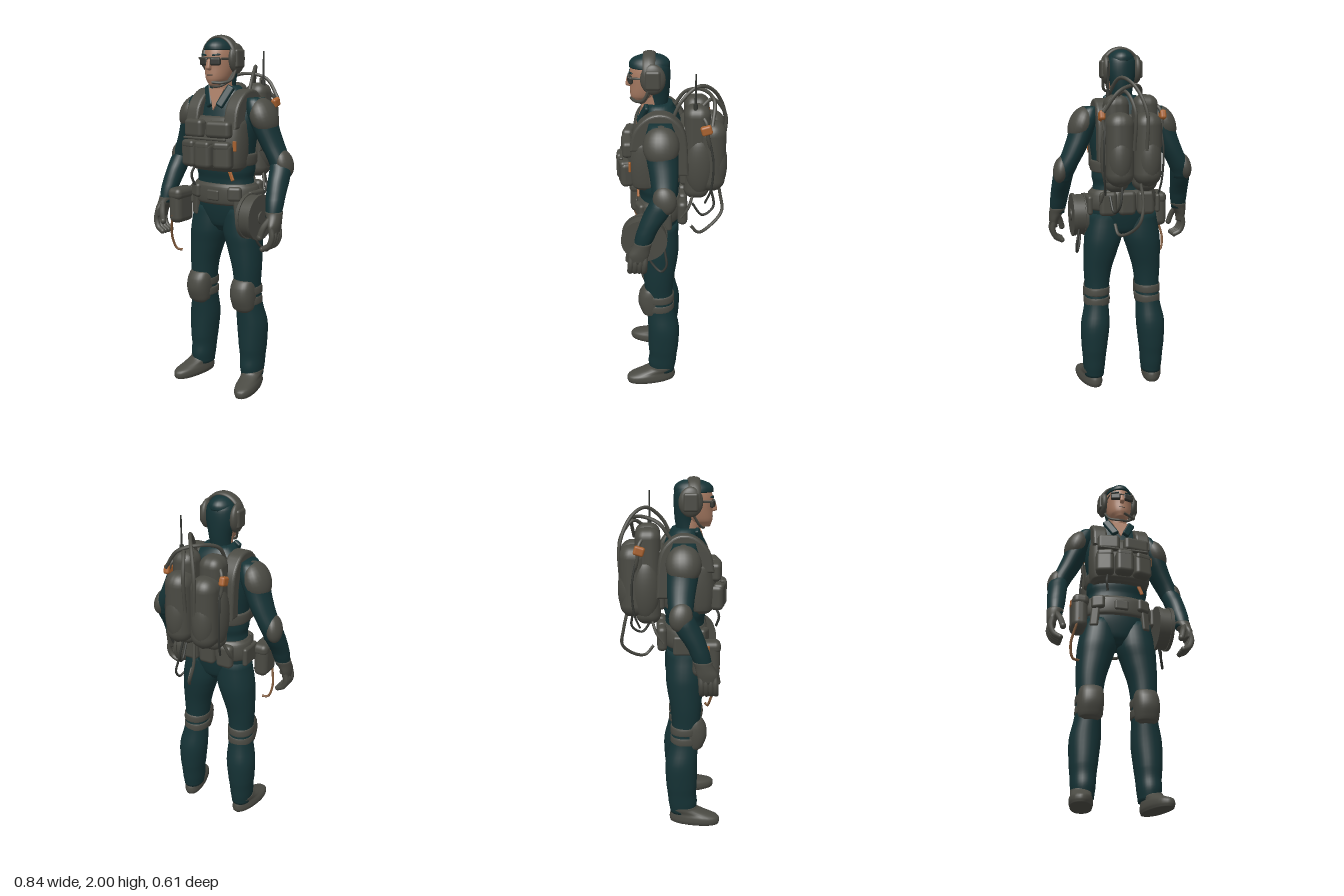
import * as THREE from 'three';
import { RoundedBoxGeometry } from 'three/addons/geometries/RoundedBoxGeometry.js';

const paint = (name, color) => {
  const m = new THREE.MeshStandardMaterial({ color });
  m.name = name;
  return m;
};

export function createModel() {
  const root = new THREE.Group();
  root.name = 'fieldOperator';
  const cloth = paint('dark teal cloth', 0x153235);
  const gear = paint('olive grey gear', 0x4a4a43);
  const dark = paint('dark lens and cable', 0x343632);
  const skin = paint('skin', 0xa67a62);
  const orange = paint('orange tag', 0xa9622f);
  const tan = paint('tan cable', 0x7d5738);

  const add = (name, geo, mat, x = 0, y = 0, z = 0, rx = 0, ry = 0, rz = 0) => {
    const m = new THREE.Mesh(geo, mat);
    m.name = name;
    m.position.set(x, y, z);
    m.rotation.set(rx, ry, rz);
    root.add(m);
    return m;
  };
  const box = (name, mat, [w, h, d], [x, y, z], r = 0.015, rot = [0, 0, 0]) =>
    add(name, new RoundedBoxGeometry(w, h, d, 4, Math.min(r, w / 2.01, h / 2.01, d / 2.01)), mat, x, y, z, ...rot);
  const ball = (name, mat, [a, b, c], [x, y, z], rot = [0, 0, 0]) =>
    add(name, new THREE.SphereGeometry(1, 24, 16).scale(a, b, c), mat, x, y, z, ...rot);
  const tube = (name, mat, pts, r = 0.009) =>
    add(name, new THREE.TubeGeometry(new THREE.CatmullRomCurve3(pts.map(p => new THREE.Vector3(...p))), 32, r, 8), mat);

  // Smooth body from horizontal rings [y, cx, cz, rx, rz], bottom to top; p squares the outline
  const loft = (name, mat, keys, p = 1, side = 1) => {
    const N = 28, S = 4, pos = [], idx = [], rings = [];
    const cr = (a, b, c, d, t) => b + 0.5 * t * (c - a + t * (2 * a - 5 * b + 4 * c - d + t * (3 * (b - c) + d - a)));
    for (let i = 0; i < keys.length - 1; i++) {
      for (let s = 0; s < S; s++) {
        rings.push(keys[i].map((v, k) => k === 0
          ? v + (keys[i + 1][0] - v) * s / S
          : cr((keys[i - 1] || keys[i])[k], v, keys[i + 1][k], (keys[i + 2] || keys[i + 1])[k], s / S)));
      }
    }
    rings.push(keys[keys.length - 1]);
    const pw = v => Math.sign(v) * Math.abs(v) ** p;
    for (const [y, cx, cz, rx, rz] of rings) {
      for (let j = 0; j < N; j++) {
        const t = j / N * Math.PI * 2;
        pos.push(cx * side + rx * pw(Math.cos(t)), y, cz + rz * pw(Math.sin(t)));
      }
    }
    const R = rings.length, last = rings[R - 1];
    pos.push(rings[0][1] * side, rings[0][0], rings[0][2], last[1] * side, last[0], last[2]);
    for (let j = 0; j < N; j++) {
      const k = (j + 1) % N;
      for (let i = 0; i < R - 1; i++) {
        const a = i * N + j, b = i * N + k;
        idx.push(a, a + N, b, b, a + N, b + N);
      }
      idx.push(R * N, j, k, R * N + 1, (R - 1) * N + k, (R - 1) * N + j);
    }
    const g = new THREE.BufferGeometry();
    g.setAttribute('position', new THREE.Float32BufferAttribute(pos, 3));
    g.setIndex(idx);
    g.computeVertexNormals();
    return add(name, g, mat);
  };

  // Torso, open collar and neck
  loft('torso', cloth, [[0.92, 0, 0.06, 0.04, 0.06], [0.96, 0, 0.06, 0.12, 0.09], [1.04, 0, 0.06, 0.19, 0.108],
    [1.12, 0, 0.06, 0.193, 0.115], [1.22, 0, 0.065, 0.17, 0.11], [1.27, 0, 0.065, 0.178, 0.12], [1.36, 0, 0.065, 0.175, 0.122],
    [1.5, 0, 0.06, 0.193, 0.125], [1.6, 0, 0.05, 0.195, 0.112], [1.67, 0, 0.05, 0.155, 0.09], [1.73, 0, 0.06, 0.08, 0.07]], 0.9);
  loft('neck', skin, [[1.64, 0, 0.075, 0.062, 0.065], [1.72, 0, 0.085, 0.058, 0.06], [1.82, 0, 0.095, 0.055, 0.06]]);
  const vee = new THREE.Shape([[-0.05, 0.12], [0, 0], [0.05, 0.12]].map(p => new THREE.Vector2(...p)));
  add('openNeck', new THREE.ExtrudeGeometry(vee, { depth: 0.008, bevelEnabled: false }), skin, 0, 1.6, 0.178, -0.3);
  for (const s of [-1, 1]) box('collarFlap', cloth, [0.045, 0.13, 0.025], [s * 0.054, 1.675, 0.145], 0.01, [-0.3, s * 0.3, -s * 0.42]);

  // Head, hair and face
  loft('head', skin, [[1.735, 0, 0.155, 0.032, 0.045], [1.77, 0, 0.135, 0.06, 0.077], [1.83, 0, 0.115, 0.076, 0.096],
    [1.89, 0, 0.11, 0.079, 0.103], [1.94, 0, 0.105, 0.068, 0.09], [1.965, 0, 0.1, 0.03, 0.05]]);
  loft('hairBack', cloth, [[1.71, 0, 0.07, 0.058, 0.055], [1.78, 0, 0.065, 0.064, 0.06], [1.86, 0, 0.072, 0.082, 0.072],
    [1.92, 0, 0.078, 0.08, 0.076], [1.95, 0, 0.085, 0.066, 0.068], [1.97, 0, 0.09, 0.04, 0.045]]);
  loft('hairTop', cloth, [[1.92, 0, 0.108, 0.08, 0.107], [1.945, 0, 0.107, 0.073, 0.105], [1.965, 0, 0.105, 0.057, 0.088],
    [1.98, 0, 0.1, 0.035, 0.055], [1.986, 0, 0.1, 0.006, 0.01]]);
  box('nose', skin, [0.026, 0.055, 0.035], [0, 1.843, 0.215], 0.01, [-0.25, 0, 0]);
  box('mouth', dark, [0.036, 0.005, 0.008], [0, 1.79, 0.209], 0.002);
  for (const s of [-1, 1]) {
    box('lens', dark, [0.06, 0.04, 0.022], [s * 0.037, 1.86, 0.209], 0.01, [0, s * 0.25, 0]);
    box('glassesArm', gear, [0.006, 0.012, 0.1], [s * 0.078, 1.875, 0.155], 0.003, [0, -s * 0.12, 0]);
    box('eyebrow', cloth, [0.045, 0.009, 0.008], [s * 0.04, 1.895, 0.206], 0.003, [0, s * 0.4, s * 0.1]);
    ball('earCup', gear, [0.028, 0.08, 0.066], [s * 0.09, 1.875, 0.088]);
    box('earCupCover', gear, [0.03, 0.1, 0.08], [s * 0.106, 1.875, 0.088], 0.014);
  }
  box('glassesBridge', gear, [0.14, 0.009, 0.01], [0, 1.879, 0.214], 0.004);
  add('headband', new THREE.TorusGeometry(0.102, 0.013, 10, 40, Math.PI).scale(1, 1, 2.6), gear, 0, 1.885, 0.108);
  tube('microphoneBoom', gear, [[0.1, 1.82, 0.11], [0.09, 1.765, 0.14], [0.06, 1.75, 0.18], [0.01, 1.752, 0.208]], 0.008);
  tube('chinStrap', gear, [[-0.085, 1.81, 0.1], [-0.055, 1.745, 0.14], [0, 1.727, 0.165], [0.055, 1.745, 0.14], [0.085, 1.81, 0.1]], 0.007);

  // Limbs with pads, gloves and boots
  for (const s of [-1, 1]) {
    loft('upperArm', cloth, [[1.25, 0.348, 0.04, 0.045, 0.05], [1.32, 0.335, 0.028, 0.058, 0.062], [1.42, 0.287, 0.03, 0.064, 0.074],
      [1.52, 0.245, 0.04, 0.07, 0.084], [1.6, 0.22, 0.045, 0.078, 0.085], [1.67, 0.185, 0.05, 0.045, 0.06]], 1, s);
    loft('forearm', cloth, [[1.05, 0.37, 0.147, 0.04, 0.044], [1.11, 0.366, 0.13, 0.048, 0.052], [1.16, 0.361, 0.11, 0.052, 0.056],
      [1.24, 0.353, 0.068, 0.055, 0.068], [1.31, 0.343, 0.035, 0.056, 0.064], [1.36, 0.32, 0.03, 0.04, 0.045]], 1, s);
    ball('shoulderPad', gear, [0.07, 0.107, 0.095], [s * 0.24, 1.57, 0.045], [0, 0, s * 0.4]);
    ball('elbowPad', gear, [0.044, 0.078, 0.062], [s * 0.361, 1.32, 0.025], [0.2, 0, s * 0.2]);
    loft('glove', gear, [[0.965, 0.39, 0.17, 0.022, 0.045], [1.01, 0.39, 0.165, 0.028, 0.055], [1.05, 0.378, 0.15, 0.04, 0.05],
      [1.08, 0.37, 0.14, 0.047, 0.05]], 1, s);
    for (let f = 0; f < 4; f++) {
      const z = 0.13 + f * 0.025;
      tube('finger', gear, [[s * 0.392, 1.0, z], [s * 0.4, 0.95, z + 0.004], [s * 0.382, 0.905, z + 0.008], [s * 0.348, 0.885, z + 0.012]], 0.016);
      ball('fingertip', gear, [0.016, 0.016, 0.016], [s * 0.348, 0.885, z + 0.012]);
    }
    tube('thumb', gear, [[s * 0.375, 1.05, 0.18], [s * 0.35, 1.0, 0.213], [s * 0.335, 0.95, 0.225]], 0.017);
    ball('thumbTip', gear, [0.017, 0.019, 0.017], [s * 0.335, 0.95, 0.225]);

    loft('leg', cloth, [[0.06, 0.178, 0.05, 0.058, 0.074], [0.12, 0.178, 0.05, 0.065, 0.084], [0.18, 0.177, 0.044, 0.069, 0.084],
      [0.24, 0.176, 0.042, 0.076, 0.09], [0.38, 0.17, 0.04, 0.085, 0.092], [0.5, 0.159, 0.056, 0.072, 0.082], [0.6, 0.154, 0.066, 0.071, 0.08],
      [0.72, 0.148, 0.066, 0.082, 0.088], [0.84, 0.129, 0.06, 0.1, 0.102], [0.92, 0.114, 0.06, 0.11, 0.108], [1.06, 0.1, 0.06, 0.1, 0.1]], 0.93, s);
    loft('kneePad', gear, [[0.465, 0.156, 0.115, 0.04, 0.03], [0.485, 0.157, 0.11, 0.062, 0.055], [0.55, 0.156, 0.112, 0.071, 0.075],
      [0.61, 0.154, 0.11, 0.07, 0.072], [0.65, 0.153, 0.105, 0.06, 0.055], [0.665, 0.152, 0.1, 0.035, 0.03]], 0.85, s);
    for (const y of [0.53, 0.59]) {
      loft('kneeStrap', gear, [[y - 0.026, 0.156, 0.063, 0.066, 0.076], [y - 0.02, 0.156, 0.063, 0.076, 0.086],
        [y + 0.02, 0.154, 0.064, 0.076, 0.086], [y + 0.026, 0.154, 0.064, 0.066, 0.076]], 0.93, s);
    }
    const boot = loft('boot', gear, [[0, 0, 0.07, 0.056, 0.145], [0.02, 0, 0.07, 0.062, 0.15], [0.045, 0, 0.066, 0.06, 0.143],
      [0.065, 0, 0.04, 0.055, 0.11], [0.085, 0, 0.008, 0.058, 0.085], [0.1, 0, 0, 0.058, 0.076]], 0.9);
    boot.position.set(s * 0.185, 0, 0.05);
    boot.rotation.y = s * 0.2;
  }

  // Belt with pouches
  loft('belt', gear, [[1.075, 0, 0.06, 0.19, 0.11], [1.09, 0, 0.06, 0.204, 0.125], [1.13, 0, 0.06, 0.208, 0.13], [1.18, 0, 0.062, 0.198, 0.126],
    [1.2, 0, 0.063, 0.18, 0.113]], 0.9);
  box('buckle', gear, [0.08, 0.06, 0.02], [0, 1.135, 0.188]);
  for (const s of [-1, 1]) {
    box('beltStrap', gear, [0.05, 0.13, 0.03], [s * 0.145, 1.07, 0.15], 0.012, [0, s * 0.5, s * 0.1]);
    box('beltPouch', gear, [0.08, 0.08, 0.04], [s * 0.13, 1.15, 0.165], 0.018, [0, s * 0.45, 0]);
    box('sidePad', gear, [0.03, 0.11, 0.14], [s * 0.2, 1.11, 0.06]);
  }
  for (const x of [-0.11, 0, 0.11]) box('rearPouch', gear, [0.1, 0.14, 0.055], [x, 1.13, -0.068], 0.025);
  box('hipPouch', gear, [0.085, 0.2, 0.15], [-0.243, 1.05, 0.17], 0.035);
  box('hipPouchFlap', gear, [0.092, 0.07, 0.158], [-0.24, 1.12, 0.17], 0.03);
  box('hipPouchTag', orange, [0.008, 0.035, 0.03], [-0.287, 1.12, 0.17], 0.003);
  tube('hipCable', tan, [[-0.25, 1.0, 0.24], [-0.275, 0.92, 0.22], [-0.287, 0.85, 0.2], [-0.27, 0.785, 0.18], [-0.235, 0.78, 0.17]], 0.007);

  // Cable drum on the left hip
  const disc = (name, r, w, x) => add(name, new THREE.CylinderGeometry(r, r, w, 40), gear, x, 1.035, 0.14, 0, 0, Math.PI / 2);
  disc('drumCore', 0.119, 0.08, 0.247);
  for (const x of [0.212, 0.28]) disc('drumRim', 0.126, 0.018, x);
  disc('drumHub', 0.035, 0.012, 0.291);
  tube('drumCable', dark, [[0.24, 0.93, 0.13], [0.25, 0.87, 0.1], [0.272, 0.83, 0.05], [0.28, 0.87, 0.02], [0.26, 0.97, 0.03]], 0.007);

  // Chest rig with pouches and shoulder straps
  loft('chestPlate', gear, [[1.275, 0, 0.13, 0.15, 0.08], [1.3, 0, 0.135, 0.173, 0.1], [1.42, 0, 0.135, 0.182, 0.105],
    [1.53, 0, 0.13, 0.178, 0.092], [1.57, 0, 0.12, 0.165, 0.07]], 0.75);
  loft('sideStrap', gear, [[1.295, 0, 0.063, 0.17, 0.12], [1.305, 0, 0.063, 0.183, 0.13], [1.36, 0, 0.063, 0.186, 0.131], [1.37, 0, 0.063, 0.172, 0.12]], 0.9);
  for (const x of [-0.108, 0, 0.108]) {
    box('magazinePouch', gear, [0.105, 0.14, 0.075], [x, 1.365, x ? 0.238 : 0.26], 0.025, [0, x * 2.5, 0]);
    box('pouchFlap', gear, [0.095, 0.045, 0.06], [x, 1.42, x ? 0.248 : 0.268], 0.018, [0, x * 2.5, 0]);
  }
  box('chestRadio', gear, [0.13, 0.1, 0.06], [-0.085, 1.505, 0.23], 0.022, [0, -0.15, 0]);
  box('chestPouch', gear, [0.15, 0.09, 0.06], [0.075, 1.505, 0.232], 0.022, [0, 0.12, 0]);
  box('chestCable', gear, [0.28, 0.014, 0.02], [0, 1.455, 0.262], 0.006);
  for (const [x, y, z, r] of [[0.115, 1.25, 0.175, 0.4], [0.165, 1.42, 0.215, 0]]) box('vestTag', orange, [0.02, 0.055, 0.012], [x, y, z], 0.004, [0, 0, r]);
  tube('vestCord', dark, [[-0.09, 1.3, 0.23], [-0.1, 1.25, 0.25], [-0.09, 1.19, 0.235]], 0.007);
  const v2 = a => a.map(p => new THREE.Vector2(...p));
  const strap = new THREE.Shape();
  strap.moveTo(0.2, 1.52);
  strap.splineThru(v2([[0.18, 1.61], [0.125, 1.675], [0.06, 1.7], [-0.01, 1.68], [-0.07, 1.59], [-0.085, 1.38]]));
  strap.lineTo(-0.04, 1.38);
  strap.splineThru(v2([[-0.03, 1.56], [0.01, 1.63], [0.06, 1.645], [0.11, 1.62], [0.145, 1.52]]));
  for (const s of [-1, 1]) {
    const g = new THREE.ExtrudeGeometry(strap, { depth: 0.056, bevelSize: 0.014, bevelThickness: 0.014, bevelSegments: 4, curveSegments: 20 });
    add('shoulderStrap', g.translate(0, 0, -0.028).rotateY(-Math.PI / 2), gear, s * 0.128);
  }

  // Backpack: two tall columns, rear lobes, side pockets and tags
  box('packFrame', gear, [0.24, 0.34, 0.06], [0, 1.46, -0.08], 0.02);
  for (const s of [-1, 1]) {
    box('packColumn', gear, [0.135, 0.53, 0.14], [s * 0.081, 1.475, -0.143], 0.055);
    box('packLobe', gear, [0.15, 0.4, 0.17], [s * 0.077, 1.45, -0.215], 0.07);
    ball('packBulge', gear, [0.065, 0.15, 0.06], [s * 0.08, 1.4, -0.25]);
    ball('sidePocket', gear, [0.045, 0.17, 0.075], [s * 0.125, 1.41, -0.155]);
    box('packTag', orange, [0.034, 0.05, 0.058], [s * 0.168, 1.63, -0.19], 0.012, [0.3, 0, 0]);
    tube('packTagStrap', gear, [[s * 0.12, 1.7, -0.16], [s * 0.155, 1.66, -0.19], [s * 0.16, 1.58, -0.2], [s * 0.14, 1.5, -0.22]], 0.01);
    tube('packCord', dark, [[s * 0.15, 1.6, -0.2], [s * 0.165, 1.45, -0.23], [s * 0.16, 1.28, -0.22], [s * 0.15, 1.2, -0.19]], 0.006);
    tube('packStrap', gear, [[s * 0.12, 1.26, -0.13], [s * 0.15, 1.17, -0.1], [s * 0.155, 1.11, -0.06]], 0.008);
  }
  add('antenna', new THREE.CylinderGeometry(0.004, 0.007, 0.25, 10), dark, 0.12, 1.79, -0.132);
  add('antennaBase', new THREE.CylinderGeometry(0.012, 0.012, 0.05, 12), dark, 0.12, 1.73, -0.132);

  // Hoses over and under the pack
  tube('neckHose', gear, [[-0.08, 1.68, -0.02], [-0.075, 1.76, -0.08], [-0.02, 1.79, -0.17], [0.08, 1.76, -0.23], [0.165, 1.65, -0.22]], 0.01);
  tube('shoulderHose', gear, [[-0.055, 1.45, -0.295], [-0.055, 1.65, -0.295], [0, 1.79, -0.23], [0.055, 1.83, -0.15], [0.09, 1.76, -0.06], [0.1, 1.66, -0.01]], 0.01);
  tube('packHose', gear, [[0.01, 1.45, -0.28], [0.01, 1.66, -0.295], [0.05, 1.76, -0.22], [0.1, 1.7, -0.14]], 0.01);
  tube('lowerHose', gear, [[-0.03, 1.27, -0.26], [-0.04, 1.16, -0.285], [-0.02, 1.06, -0.295], [0.03, 0.985, -0.22], [0.07, 0.97, -0.16], [0.08, 1.02, -0.115]], 0.009);
  tube('lowerCable', dark, [[0.06, 1.27, -0.22], [0.08, 1.14, -0.24], [0.1, 1.1, -0.18], [0.11, 1.18, -0.12]], 0.007);
  return root;
}
